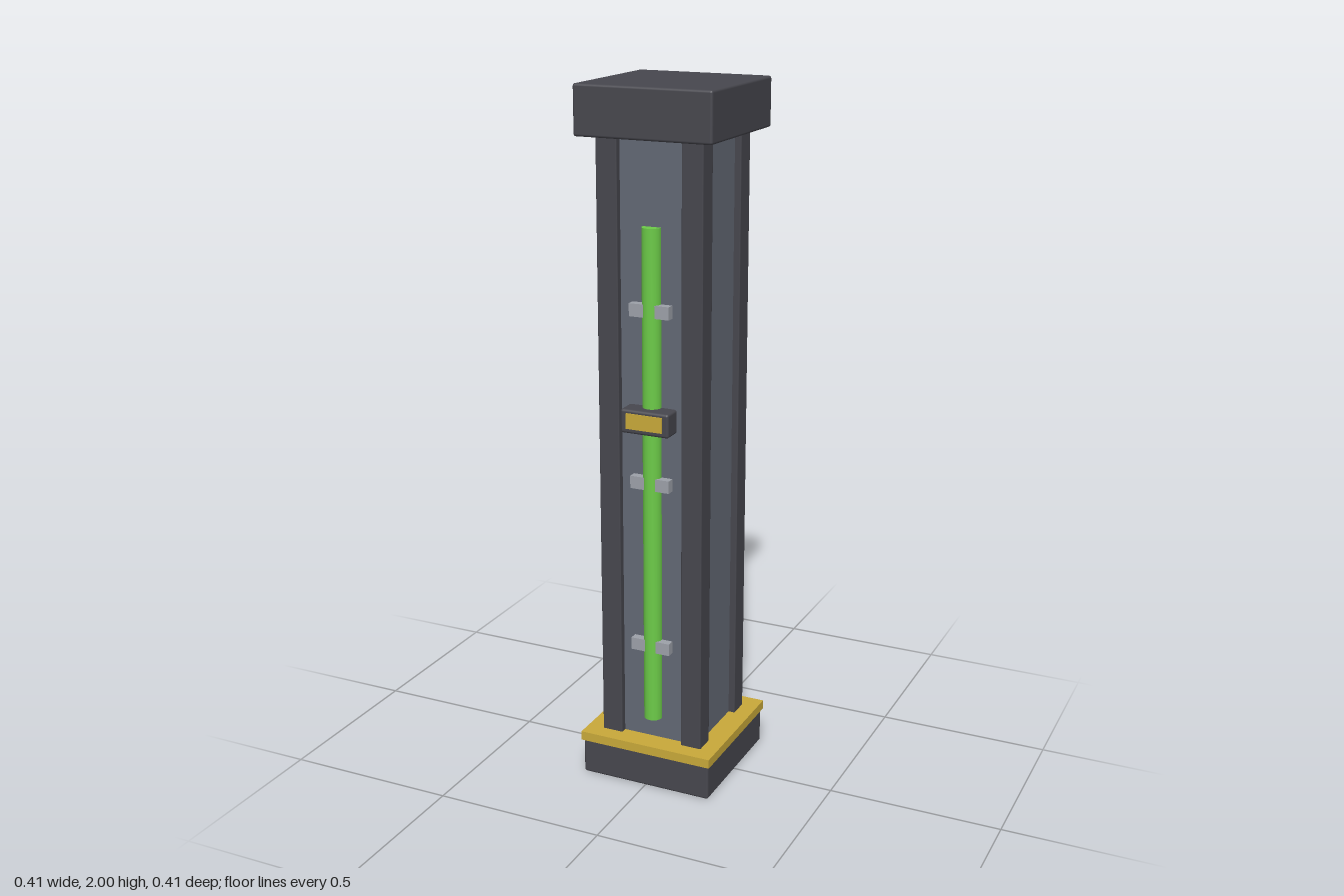
import * as THREE from 'three';
import { RoundedBoxGeometry } from 'three/addons/geometries/RoundedBoxGeometry.js';

function material(name, color) {
  const m = new THREE.MeshStandardMaterial({ color });
  m.name = name;
  return m;
}

export function createModel() {
  const frame = material('dark frame', 0x47474e);
  const panel = material('slate panel', 0x636975);
  const yellow = material('warning yellow', 0xc9a93a);
  const green = material('glowing green', 0x6ccb48);
  const steel = material('clamp steel', 0x9da1a9);

  const model = new THREE.Group();
  model.name = 'pillar';

  const add = (parent, name, geometry, mat, x, y, z) => {
    const mesh = new THREE.Mesh(geometry, mat);
    mesh.name = name;
    mesh.position.set(x, y, z);
    parent.add(mesh);
    return mesh;
  };
  const box = (w, h, d) => new THREE.BoxGeometry(w, h, d);
  const rounded = (w, h, d, r) => new RoundedBoxGeometry(w, h, d, 2, r);

  // Base, hazard band and cap
  add(model, 'base', rounded(0.398, 0.115, 0.398, 0.007), frame, 0, 0.0575, 0);
  add(model, 'baseBand', box(0.408, 0.027, 0.408), yellow, 0, 0.1175, 0);
  add(model, 'cap', rounded(0.398, 0.137, 0.398, 0.007), frame, 0, 1.9315, 0);

  // Recessed core between four corner posts
  add(model, 'core', box(0.274, 1.77, 0.274), panel, 0, 1.0, 0);
  for (const x of [-1, 1]) {
    for (const z of [-1, 1]) {
      add(model, 'cornerPost', rounded(0.062, 1.77, 0.062, 0.003), frame, x * 0.125, 1.0, z * 0.125);
    }
  }

  // Light tube with its clamps, on front and back
  for (const [name, turn] of [['frontLight', 0], ['backLight', Math.PI]]) {
    const light = new THREE.Group();
    light.name = name;
    light.rotation.y = turn;
    model.add(light);
    add(light, 'lightTube', new THREE.CylinderGeometry(0.027, 0.027, 1.435, 16), green, 0, 0.9125, 0.14);
    for (const y of [0.425, 0.915, 1.405]) {
      add(light, 'clamp', box(0.118, 0.036, 0.035), steel, 0, y, 0.143);
    }
  }

  // Sensor box with a yellow face on the front
  add(model, 'sensorBox', rounded(0.144, 0.068, 0.064, 0.007), frame, 0, 1.1, 0.16);
  add(model, 'sensorFace', box(0.108, 0.044, 0.006), yellow, 0, 1.102, 0.192);

  return model;
}
